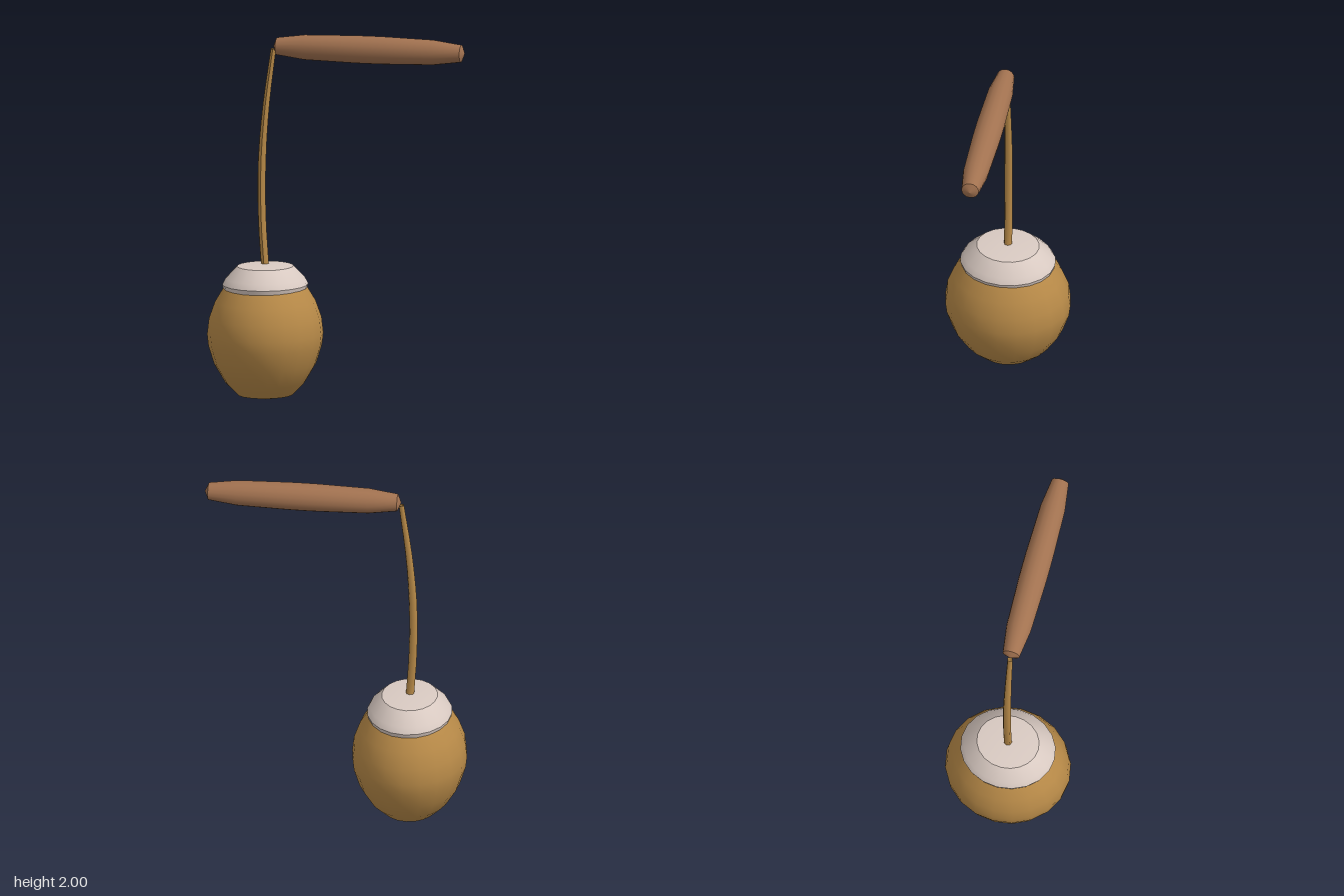
import * as THREE from 'three';
import { toCreasedNormals } from 'three/addons/utils/BufferGeometryUtils.js';

const material = (color) => new THREE.MeshStandardMaterial({ color });

// Revolved [radius, height] profile, listed bottom to top
function turned(name, profile, segments, mat, crease = 0.45) {
  const points = profile.map(([r, y]) => new THREE.Vector2(r, y));
  const mesh = new THREE.Mesh(toCreasedNormals(new THREE.LatheGeometry(points, segments), crease), mat);
  mesh.name = name;
  return mesh;
}

export function createModel() {
  const model = new THREE.Group();
  const tan = material(0xb88a48);
  const pale = material(0xd9cac2);
  const brown = material(0xa27250);
  const potX = -0.4;

  // Egg-shaped pot, slightly deeper than wide
  const pot = turned('pot', [
    [0, 0.005], [0.147, 0.033], [0.213, 0.1], [0.272, 0.2], [0.303, 0.3],
    [0.31, 0.365], [0.3, 0.45], [0.268, 0.54], [0.22, 0.62], [0, 0.63],
  ], 20, tan);
  pot.position.x = potX;
  pot.scale.z = 1.097;

  // Domed lid with a rolled edge
  const lid = turned('lid', [
    [0, 0.606], [0.222, 0.606], [0.229, 0.632], [0.212, 0.665], [0.15, 0.73], [0, 0.745],
  ], 20, pale);
  lid.position.x = potX;
  lid.scale.z = 1.125;

  // Gently bowed stem, thinning toward the top
  const path = new THREE.CatmullRomCurve3([
    [-0.4, 0.71], [-0.418, 1.0], [-0.418, 1.3], [-0.396, 1.6], [-0.355, 1.91],
  ].map(([x, y]) => new THREE.Vector3(x, y, 0)));
  const rings = 12, sides = 8;
  const stemGeometry = new THREE.TubeGeometry(path, rings, 0.022, sides);
  const position = stemGeometry.attributes.position;
  const vertex = new THREE.Vector3();
  for (let i = 0; i < position.count; i++) {
    const t = Math.floor(i / (sides + 1)) / rings;
    const centre = path.getPointAt(t);
    const taper = 1 - 0.35 * Math.max(0, (t - 0.5) * 2);
    vertex.fromBufferAttribute(position, i).sub(centre).multiplyScalar(taper).add(centre);
    position.setXYZ(i, vertex.x, vertex.y, vertex.z);
  }
  stemGeometry.computeVertexNormals();
  const stem = new THREE.Mesh(stemGeometry, tan);
  stem.material = tan.clone();
  stem.material.side = THREE.DoubleSide;
  stem.name = 'stem';

  // Spindle-shaped handle lying along x
  const half = [[0.075, 0.08], [0.068, 0.355], [0.047, 0.51], [0, 0.53]];
  const profile = [...half.map(([r, y]) => [r, -y]).reverse(), [0.0755, 0], ...half];
  const handle = turned('handle', profile, 16, brown);
  handle.rotation.z = -Math.PI / 2;
  handle.position.set(0.175, 1.925, 0);

  model.add(pot, lid, stem, handle);
  return model;
}
